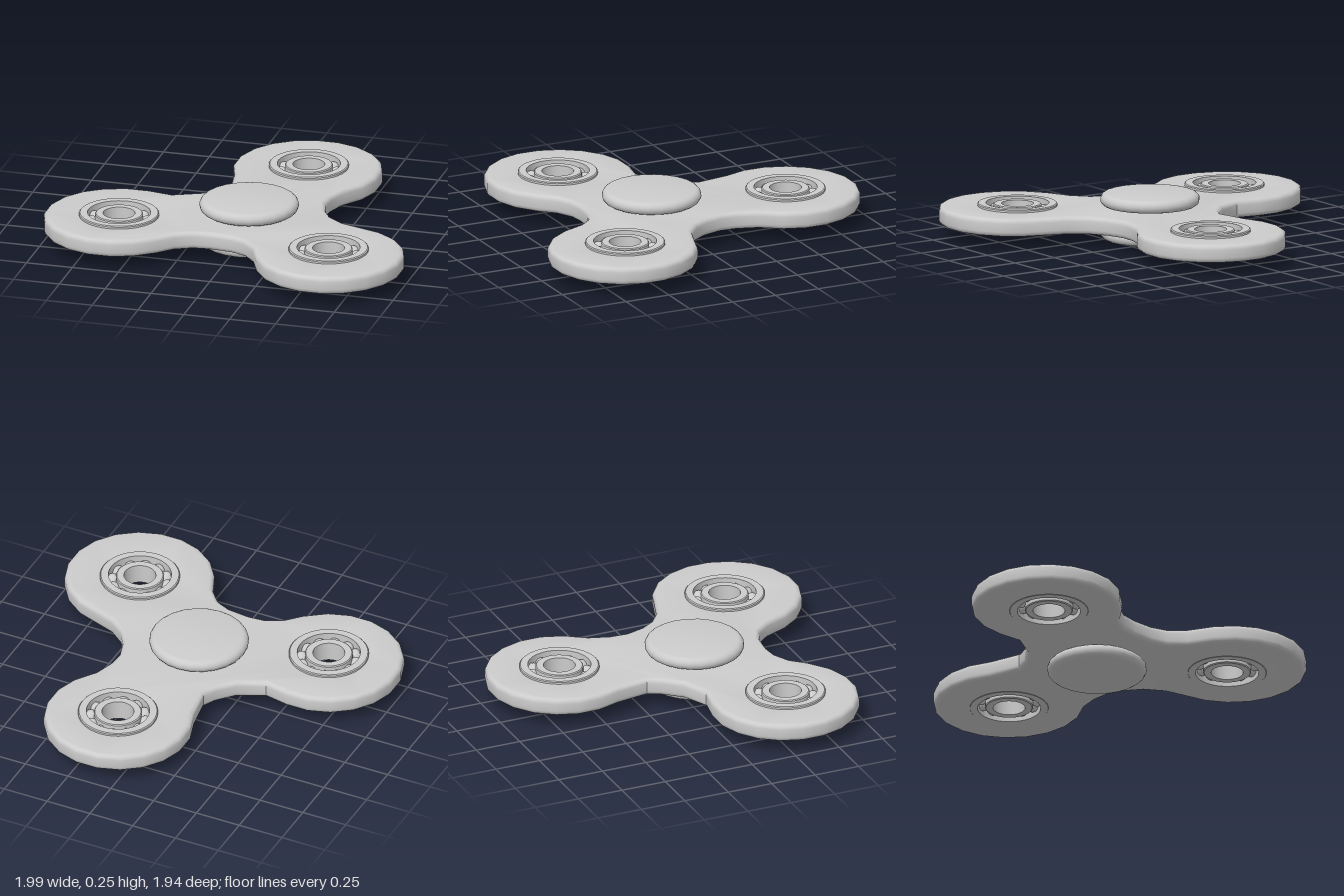
import * as THREE from 'three';
import { toCreasedNormals } from 'three/addons/utils/BufferGeometryUtils.js';

const V = (x, y) => new THREE.Vector2(x, y);
const material = new THREE.MeshStandardMaterial({ color: 0xcccccc });

const HUB = [0.04, 0.135];
// Lobe centre x, z, outline arc start and end in degrees, then the valley leading to the next lobe
const LOBES = [
  { x: 0.155, z: -0.588, from: 153, to: 387,
    valley: [[0.43, -0.3], [0.395, -0.19], [0.39, -0.1], [0.42, 0], [0.47, 0.08], [0.56, 0.15]] },
  { x: 0.605, z: 0.578, from: -63, to: 153,
    valley: [[0.2, 0.63], [0.13, 0.55], [0.05, 0.515], [-0.07, 0.502], [-0.16, 0.51], [-0.25, 0.555], [-0.32, 0.63]] },
  { x: -0.61, z: 0.36, from: 63, to: 279,
    valley: [[-0.42, -0.005], [-0.28, -0.07], [-0.2, -0.16], [-0.165, -0.23]] },
];
const BEARINGS = [[0.16, -0.588], [0.593, 0.558], [-0.603, 0.37]];
const LOBE_RADIUS = 0.394;

function mesh(name, geometry, x = 0, y = 0, z = 0) {
  const m = new THREE.Mesh(geometry, material);
  m.name = name;
  m.position.set(x, y, z);
  return m;
}

function lathe(points, segments) {
  return toCreasedNormals(new THREE.LatheGeometry(points, segments), 0.6);
}

// Closed ring with small chamfers on its outer edges
function ringGeometry(inner, outer, y0, y1) {
  const c = 0.005;
  return lathe([
    V(inner, y0), V(outer - c, y0), V(outer, y0 + c),
    V(outer, y1 - c), V(outer - c, y1), V(inner, y1), V(inner, y0),
  ], 40);
}

// Three-lobed plate with rounded rims and a hole for each bearing
function bodyGeometry() {
  const outline = [];
  for (const { x, z, from, to, valley } of LOBES) {
    for (let a = from; a <= to; a += 18) {
      const t = THREE.MathUtils.degToRad(a);
      outline.push(V(x + LOBE_RADIUS * Math.cos(t), -(z + LOBE_RADIUS * Math.sin(t))));
    }
    for (const [vx, vz] of valley) outline.push(V(vx, -vz));
  }
  const shape = new THREE.Shape(outline);
  for (const [x, z] of BEARINGS) {
    shape.holes.push(new THREE.Path().absarc(x, -z, 0.178, 0, Math.PI * 2, false));
  }
  const bevel = 0.026;
  const geometry = new THREE.ExtrudeGeometry(shape, {
    depth: 0.096 - 2 * bevel, bevelThickness: bevel, bevelSize: bevel,
    bevelOffset: -bevel, bevelSegments: 4, curveSegments: 20,
  });
  geometry.rotateX(-Math.PI / 2);
  geometry.translate(0, 0.075 + bevel, 0);
  return toCreasedNormals(geometry, 0.6);
}

// Finger cap: a disc with a fully rounded rim
function capGeometry() {
  const r = 0.262, h = 0.034, points = [V(0, -h)];
  for (let i = 0; i <= 8; i++) {
    const t = -Math.PI / 2 + (i / 8) * Math.PI;
    points.push(V(r - h + h * Math.cos(t), h * Math.sin(t)));
  }
  points.push(V(0, h));
  return lathe(points, 24);
}

export function createModel() {
  const model = new THREE.Group();
  model.name = 'spinner';
  model.add(mesh('body', bodyGeometry()));

  // Hub: axle with a cap above and below
  const cap = capGeometry();
  model.add(
    mesh('topCap', cap, HUB[0], 0.211, HUB[1]),
    mesh('bottomCap', cap, HUB[0], 0.034, HUB[1]),
    mesh('axle', new THREE.CylinderGeometry(0.2, 0.2, 0.15, 24), HUB[0], 0.123, HUB[1]),
  );

  // Ball bearings in the lobes
  const outerRing = ringGeometry(0.166, 0.21, 0.073, 0.186);
  const innerRing = ringGeometry(0.084, 0.126, 0.075, 0.182);
  const ball = new THREE.SphereGeometry(0.037, 16, 12);
  const count = 12;
  for (const [x, z] of BEARINGS) {
    const bearing = new THREE.Group();
    bearing.name = 'bearing';
    bearing.position.set(x, 0, z);
    bearing.add(mesh('outerRing', outerRing), mesh('innerRing', innerRing));
    for (let i = 0; i < count; i++) {
      const t = ((i + 0.5) / count) * Math.PI * 2;
      bearing.add(mesh('ball', ball, 0.146 * Math.cos(t), 0.128, 0.146 * Math.sin(t)));
    }
    model.add(bearing);
  }
  return model;
}
